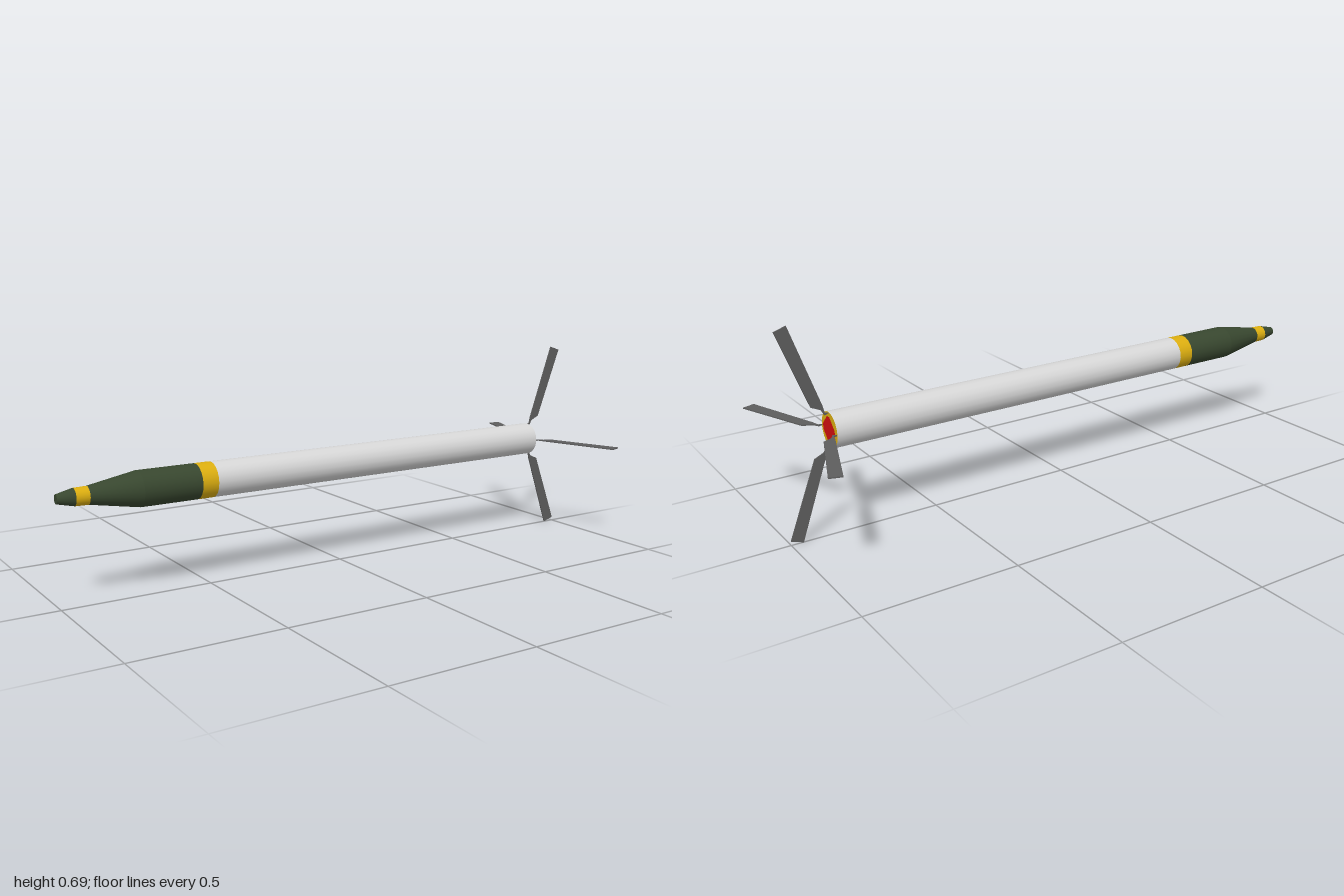
import * as THREE from 'three';

const SIDES = 20, AXIS_Y = 0.345, RADIUS = 0.058, TAIL_X = 0.85;

const paint = (name, color) => {
  const m = new THREE.MeshStandardMaterial({ color });
  m.name = name;
  return m;
};

export function createModel() {
  const white = paint('white', 0xd6d6d6);
  const green = paint('olive green', 0x38472f);
  const gold = paint('gold', 0xdcae10);
  const red = paint('red', 0xd40f0f);
  const grey = paint('fin grey', 0x5e5e5e);

  const rocket = new THREE.Group();
  rocket.name = 'rocket';
  rocket.position.y = AXIS_Y;

  const add = (name, geometry, material) => {
    const mesh = new THREE.Mesh(geometry, material);
    mesh.name = name;
    rocket.add(mesh);
    return mesh;
  };

  // Body sections along x, nose to tail: name, start, end, start radius, end radius
  const sections = [
    ['noseTip', -1, -0.945, 0.015, 0.028, green],
    ['noseBand', -0.945, -0.902, 0.028, 0.029, gold],
    ['noseCone', -0.902, -0.74, 0.029, RADIUS, green],
    ['warhead', -0.74, -0.545, RADIUS, RADIUS, green],
    ['bodyBand', -0.545, -0.49, RADIUS, RADIUS, gold],
    ['body', -0.49, TAIL_X, RADIUS, RADIUS, white],
  ];
  for (const [name, x0, x1, r0, r1, material] of sections) {
    const g = new THREE.CylinderGeometry(r0, r1, x1 - x0, SIDES, 1, true);
    g.rotateZ(Math.PI / 2);
    g.translate((x0 + x1) / 2, 0, 0);
    add(name, g, material);
  }

  // End discs
  const noseCap = new THREE.CircleGeometry(0.015, SIDES).rotateY(-Math.PI / 2);
  add('noseCap', noseCap.translate(-1, 0, 0), green);
  const tailCap = new THREE.CircleGeometry(RADIUS, SIDES).rotateY(Math.PI / 2);
  add('tailCap', tailCap.translate(TAIL_X, 0, 0), gold);

  // Red plate on the tail: a diamond with clipped corners
  const a = 0.043, b = 0.009;
  const plate = new THREE.Shape([[a, -b], [a, b], [b, a], [-b, a], [-a, b], [-a, -b], [-b, -a], [b, -a]]
    .map(([x, y]) => new THREE.Vector2(x, y)));
  const plateGeometry = new THREE.ShapeGeometry(plate).rotateY(Math.PI / 2);
  add('nozzlePlate', plateGeometry.translate(TAIL_X + 0.002, 0, 0), red);

  // Four swept-back folding fins on short narrow stems
  const thickness = 0.004;
  const outline = new THREE.Shape([
    [0.848, 0.055], [0.863, 0.05], [0.874, 0.069], [0.905, 0.083],
    [1.0, 0.332], [0.96, 0.345], [0.868, 0.083], [0.862, 0.058],
  ].map(([x, y]) => new THREE.Vector2(x, y)));
  const finGeometry = new THREE.ExtrudeGeometry(outline, { depth: thickness, bevelEnabled: false });
  finGeometry.translate(0, 0, -thickness / 2);
  for (let i = 0; i < 4; i++) {
    add('fin' + (i + 1), finGeometry, grey).rotation.x = i * Math.PI / 2;
  }

  const model = new THREE.Group();
  model.add(rocket);
  return model;
}
